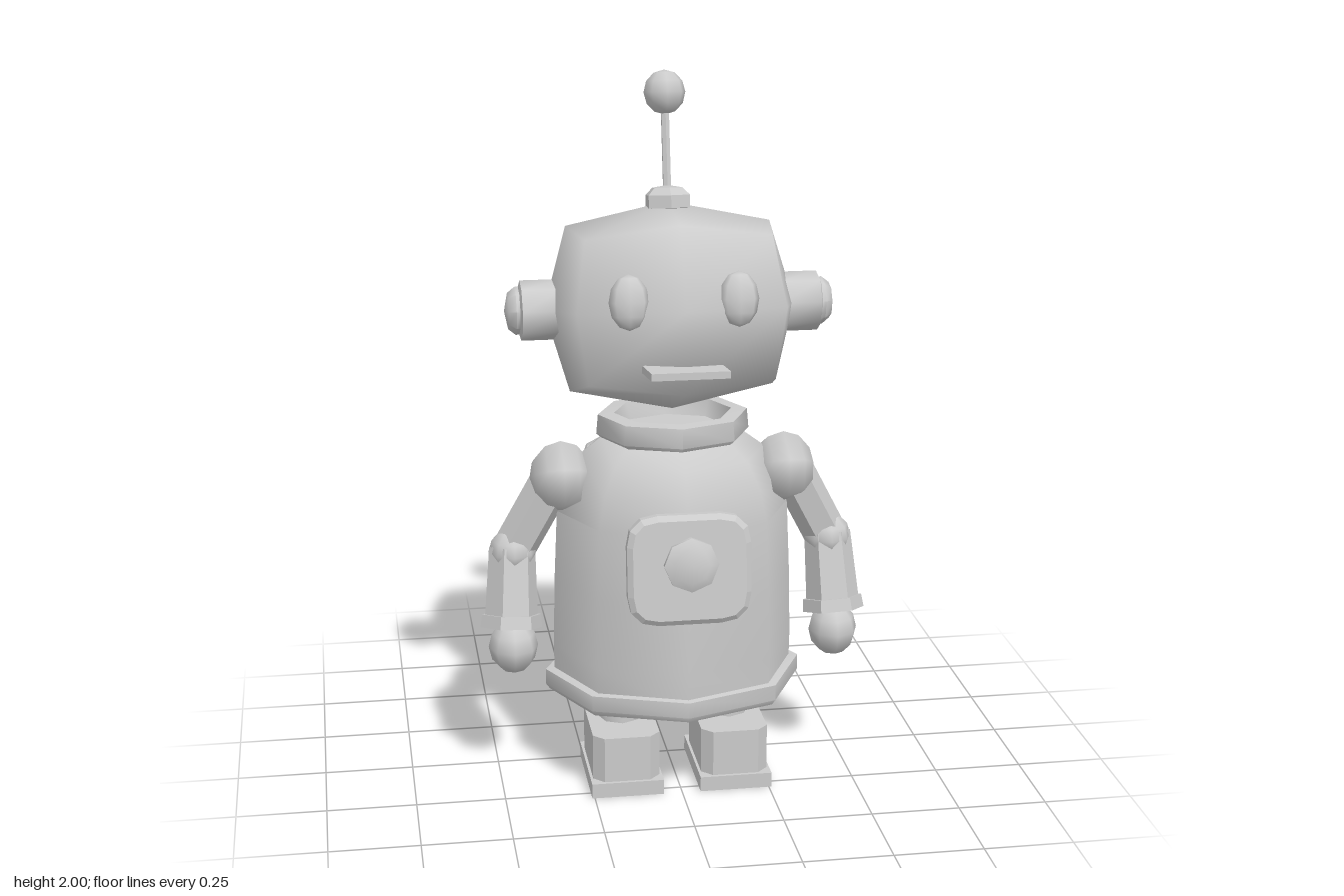
import * as THREE from 'three';
import { mergeVertices, toCreasedNormals } from 'three/addons/utils/BufferGeometryUtils.js';

const material = new THREE.MeshStandardMaterial({ color: 0xcccccc, side: THREE.DoubleSide });
const CREASE = 0.9;

function add(parent, name, geometry, x = 0, y = 0, z = 0) {
  const mesh = new THREE.Mesh(geometry, material);
  mesh.name = name;
  mesh.position.set(x, y, z);
  parent.add(mesh);
  return mesh;
}

// Turned part from [radius, height] pairs, optionally squashed front to back.
function turned(points, sides = 8, depth = 1, crease = CREASE) {
  const g = new THREE.LatheGeometry(points.map(p => new THREE.Vector2(...p)), sides);
  g.scale(1, 1, depth);
  return toCreasedNormals(g, crease);
}

function ball(rx, ry, rz, sides = 8, rings = 6) {
  return new THREE.SphereGeometry(1, sides, rings).scale(rx, ry, rz);
}

// Faceted limb segment running between two points.
function limb(parent, name, from, to, r0, r1, sides = 6) {
  const a = new THREE.Vector3(...from), b = new THREE.Vector3(...to);
  const dir = b.clone().sub(a);
  const g = toCreasedNormals(new THREE.CylinderGeometry(r1, r0, dir.length(), sides), 0.5);
  const mesh = add(parent, name, g);
  mesh.position.copy(a).add(b).multiplyScalar(0.5);
  mesh.quaternion.setFromUnitVectors(new THREE.Vector3(0, 1, 0), dir.normalize());
  return mesh;
}

// Rectangle outline with chamfered corners.
function chamferedRect(w, h, c) {
  const pts = [];
  for (const [sx, sy] of [[1, 1], [-1, 1], [-1, -1], [1, -1]]) {
    const p = new THREE.Vector2(sx * w / 2, sy * (h / 2 - c));
    const q = new THREE.Vector2(sx * (w / 2 - c), sy * h / 2);
    pts.push(...(sx * sy > 0 ? [p, q] : [q, p]));
  }
  return new THREE.Shape(pts);
}

// Rounded block head: a divided cube with its edges and corners pulled in.
function headGeometry() {
  let g = new THREE.BoxGeometry(2, 2, 2, 2, 2, 2);
  const size = [null, [0.35, 0.287, 0.3], [0.285, 0.228, 0.234], [0.255, 0.195, 0.203]];
  const p = g.attributes.position;
  for (let i = 0; i < p.count; i++) {
    const v = [p.getX(i), p.getY(i), p.getZ(i)].map(Math.round);
    const s = size[v.filter(c => c !== 0).length];
    p.setXYZ(i, v[0] * s[0], v[1] * s[1], v[2] * s[2]);
  }
  g.deleteAttribute('uv');
  g.deleteAttribute('normal');
  g = mergeVertices(g);
  g.computeVertexNormals();
  return g;
}

function buildHead() {
  const head = new THREE.Group();
  head.name = 'head';
  head.position.set(0, 1.365, 0.045);
  head.rotation.x = -0.165;
  add(head, 'skull', headGeometry());

  // Antenna
  add(head, 'antennaBase', turned([[0, 0.26], [0.066, 0.27], [0.066, 0.305], [0.045, 0.325], [0, 0.332]], 6, 1, 0.5), 0, 0, 0.01);
  limb(head, 'antennaRod', [0, 0.31, 0.005], [0, 0.56, 0], 0.012, 0.012);
  add(head, 'antennaTip', ball(0.058, 0.061, 0.06), 0, 0.585, 0);

  // Eyes and ears
  for (const s of [1, -1]) {
    add(head, 'eye', ball(0.055, 0.075, 0.035), s * 0.148, 0.03, 0.262);
    const ear = add(head, 'ear', turned([[0, 0.28], [0.083, 0.3], [0.083, 0.415], [0.066, 0.42],
      [0.066, 0.43], [0.05, 0.45], [0, 0.46]], 8));
    ear.rotation.z = -s * Math.PI / 2;
  }

  // Crooked mouth plate
  const mouth = add(head, 'mouth', new THREE.BoxGeometry(0.22, 0.02, 0.09), 0, -0.16, 0.27);
  mouth.rotation.set(0.165, 0.14, -0.04);
  return head;
}

function buildBody() {
  const body = new THREE.Group();
  body.name = 'body';
  body.position.z = 0.1;
  add(body, 'torso', turned([[0.34, 0.3], [0.342, 0.4], [0.337, 0.6], [0.328, 0.8],
    [0.305, 0.89], [0.26, 0.965], [0.2, 1.01], [0, 1.02]], 8, 0.85));
  add(body, 'hem', turned([[0, 0.265], [0.355, 0.265], [0.366, 0.28], [0.366, 0.325], [0.335, 0.33]], 8, 0.835, 0.8));
  add(body, 'collar', turned([[0.18, 0.99], [0.215, 1.02], [0.21, 1.075], [0.165, 1.078], [0.15, 1.03], [0, 1.03]], 8, 0.86));

  // Chest panel and button
  const chest = new THREE.Group();
  chest.name = 'chest';
  chest.position.set(0, 0.712, 0.275);
  chest.rotation.x = -0.1;
  body.add(chest);
  const s = new THREE.Shape();
  const w = 0.155, h = 0.138, c = 0.07;
  s.moveTo(w, -h + c).lineTo(w, h - c).quadraticCurveTo(w, h, w - c, h);
  s.lineTo(-w + c, h).quadraticCurveTo(-w, h, -w, h - c).lineTo(-w, -h + c);
  s.quadraticCurveTo(-w, -h, -w + c, -h).lineTo(w - c, -h).quadraticCurveTo(w, -h, w, -h + c);
  add(chest, 'panel', new THREE.ExtrudeGeometry(s, {
    depth: 0.025, bevelThickness: 0.012, bevelSize: 0.015, bevelSegments: 1, curveSegments: 3,
  }));
  const button = add(chest, 'button', turned([[0.05, 0], [0.05, 0.05], [0.075, 0.052], [0.075, 0.066], [0.05, 0.078], [0, 0.08]], 8), 0, 0.022, 0);
  button.rotation.x = Math.PI / 2;
  return body;
}

function buildKey() {
  const key = new THREE.Group();
  key.name = 'windUpKey';
  key.position.y = 0.735;
  limb(key, 'keySocket', [0, 0, -0.15], [0, 0, -0.235], 0.062, 0.062, 8);
  limb(key, 'keyRod', [0, 0, -0.2], [0, 0, -0.39], 0.026, 0.026);
  for (const s of [1, -1]) {
    const wing = add(key, 'keyWing', turned([[0, -0.025], [0.092, -0.025], [0.102, -0.012],
      [0.102, 0.012], [0.092, 0.025], [0, 0.025]], 8, 1.22, 0.8), s * 0.108, 0, -0.435);
    wing.rotation.x = Math.PI / 2;
  }
  return key;
}

function buildArm(s) {
  const arm = new THREE.Group();
  arm.name = s > 0 ? 'leftArm' : 'rightArm';
  const shoulder = new THREE.SphereGeometry(1, 6, 6).rotateZ(Math.PI / 2).scale(0.088, 0.103, 0.123);
  add(arm, 'shoulder', shoulder, s * 0.315, 0.9, 0.1);
  limb(arm, 'upperArm', [s * 0.34, 0.89, 0.1], [s * 0.445, 0.69, 0.07], 0.062, 0.062);
  add(arm, 'elbow', ball(0.068, 0.065, 0.075), s * 0.452, 0.68, 0.075);
  limb(arm, 'forearm', [s * 0.453, 0.69, 0.075], [s * 0.463, 0.49, 0.122], 0.066, 0.076);
  limb(arm, 'cuff', [s * 0.462, 0.505, 0.118], [s * 0.464, 0.47, 0.127], 0.084, 0.088);
  add(arm, 'hand', ball(0.07, 0.077, 0.078), s * 0.46, 0.417, 0.135);
  return arm;
}

function buildLeg(s) {
  const leg = new THREE.Group();
  leg.name = s > 0 ? 'leftLeg' : 'rightLeg';
  leg.position.x = s * 0.155;
  add(leg, 'ankle', turned([[0, 0.16], [0.065, 0.16], [0.065, 0.195], [0.085, 0.2], [0.085, 0.29], [0, 0.29]], 8, 1.15), 0, 0, 0.1);
  const upper = new THREE.ExtrudeGeometry(chamferedRect(0.19, 0.275, 0.03), { depth: 0.145, bevelEnabled: false });
  add(leg, 'boot', upper.rotateX(-Math.PI / 2), 0, 0.03, 0.138);
  add(leg, 'sole', new THREE.BoxGeometry(0.205, 0.043, 0.295), 0, 0.0215, 0.138);
  return leg;
}

export function createModel() {
  const robot = new THREE.Group();
  robot.name = 'toyRobot';
  robot.add(buildHead(), buildBody(), buildKey());
  for (const s of [1, -1]) robot.add(buildArm(s), buildLeg(s));
  return robot;
}
